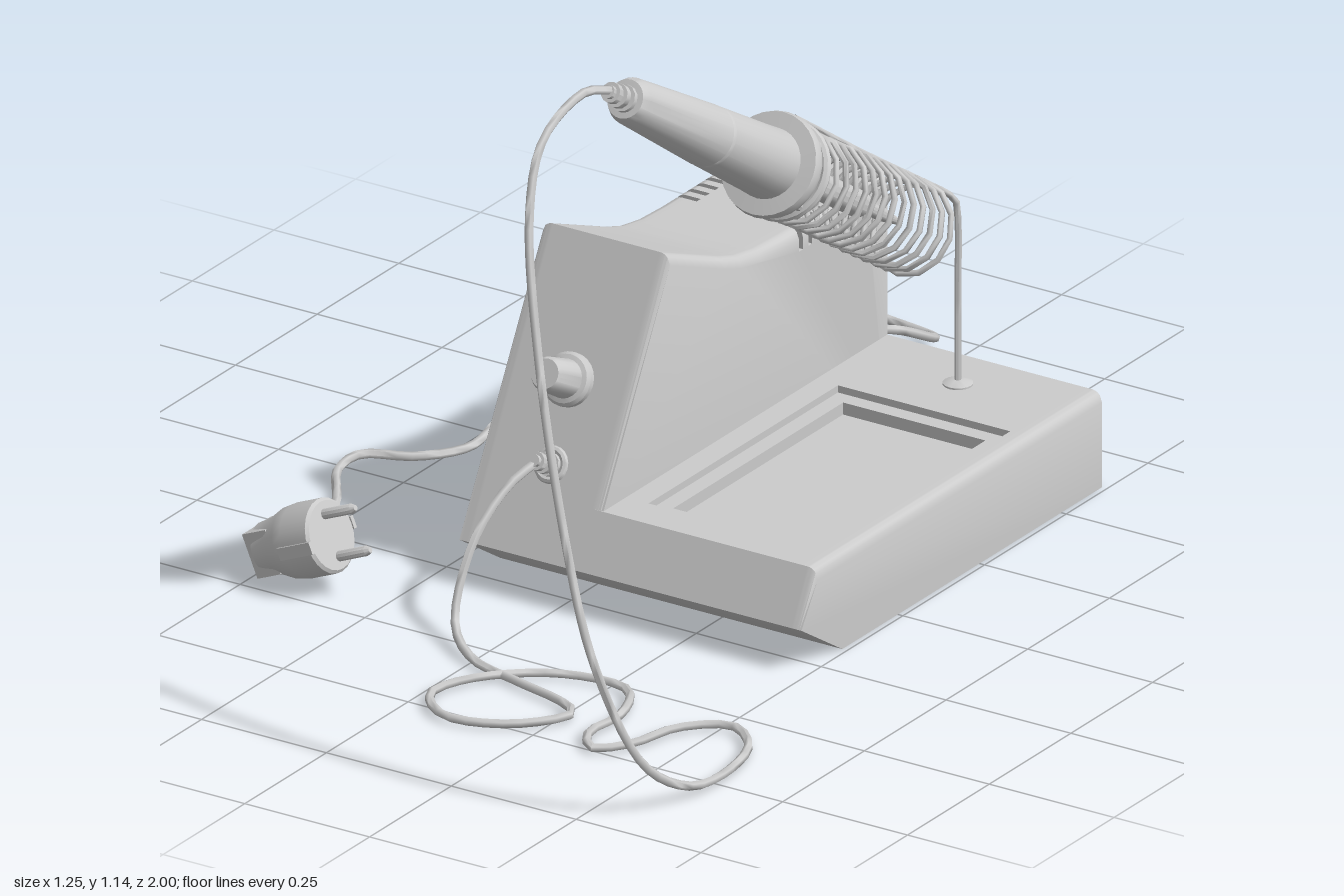
import * as THREE from 'three';
import { toCreasedNormals } from 'three/addons/utils/BufferGeometryUtils.js';

const grey = new THREE.MeshStandardMaterial({ color: 0xcccccc, side: THREE.DoubleSide });
const V = (x, y, z) => new THREE.Vector3(x, y, z);

function add(parent, name, geo, crease = 0.6) {
  const mesh = new THREE.Mesh(toCreasedNormals(geo, crease), grey);
  mesh.name = name;
  parent.add(mesh);
  return mesh;
}

// Side profile [z, y] extruded from x0 to x1; round = -1 / 1 softens the top edge on that side
function slab(profile, x0, x1, round = 0, topFrom = 0) {
  const shape = new THREE.Shape(profile.map(p => new THREE.Vector2(p[0], p[1])));
  const geo = new THREE.ExtrudeGeometry(shape, { depth: x1 - x0, steps: round ? 10 : 1, bevelEnabled: false });
  geo.rotateY(-Math.PI / 2).translate(x1, 0, 0);
  const pos = geo.attributes.position, r = 0.02;
  for (let i = 0; round && i < pos.count; i++) {
    if (pos.getY(i) < topFrom) continue;
    const edge = round > 0 ? x1 - pos.getX(i) : pos.getX(i) - x0;
    const d = Math.max(0, r - edge);
    pos.setY(i, pos.getY(i) - r + Math.sqrt(Math.max(0, r * r - d * d)));
  }
  return geo;
}

const lathe = (points, sides = 24) =>
  new THREE.LatheGeometry(points.map(p => new THREE.Vector2(p[0], p[1])), sides);

function tube(points, radius, perPoint = 4, sides = 6) {
  const curve = new THREE.CatmullRomCurve3(points.map(p => V(...p)), false, 'centripetal');
  return new THREE.TubeGeometry(curve, points.length * perPoint, radius, sides);
}

// Group whose local +y points along dir
function mount(parent, name, at, dir) {
  const g = new THREE.Group();
  g.name = name;
  g.position.set(...at);
  g.quaternion.setFromUnitVectors(V(0, 1, 0), V(...dir).normalize());
  parent.add(g);
  return g;
}

// Ribbed cable sleeve, from y = 0 to len
function sleeve(r, len, ribs = 3) {
  const pts = [[0, 0]];
  for (let i = 0; i < ribs; i++) {
    const a = len * i / ribs, p = len / ribs, k = r * (1 - 0.12 * i);
    pts.push([k, a], [k, a + p * 0.6], [k * 0.65, a + p * 0.6], [k * 0.65, a + p]);
  }
  pts.push([0, len]);
  return lathe(pts, 12);
}

const frontZ = y => 0.295 - (y - 0.08) * 0.52;
const BACK = -0.625;
const baseProfile = top => [[BACK, 0], [0.17, 0], [0.295, 0.08], [frontZ(top), top], [BACK, top]];

function buildTower(root) {
  const lower = [[BACK, 0], [0.17, 0], [0.295, 0.08], [0.04, 0.57], [-0.13, 0.5], [-0.18, 0.483], [-0.24, 0.473], [-0.31, 0.47]];
  const plain = [...lower, [BACK, 0.47]];
  // side walls carry the vent slots in their top outline
  const vented = [...lower];
  for (let i = 0; i < 8; i++) {
    const z = -0.355 - i * 0.028;
    vented.push([z, 0.47], [z, 0.428], [z - 0.012, 0.428], [z - 0.012, 0.47]);
  }
  vented.push([BACK, 0.47]);
  add(root, 'towerCore', slab(plain, -0.145, 0.01));
  add(root, 'towerRightWall', slab(vented, -0.195, -0.145, -1, 0.45));
  add(root, 'towerLeftWall', slab(vented, 0.01, 0.06, 1, 0.45));

  // rocker switch
  add(root, 'switchFrame', new THREE.BoxGeometry(0.055, 0.012, 0.085).translate(-0.07, 0.473, -0.457));
  const rocker = add(root, 'switchRocker', new THREE.BoxGeometry(0.04, 0.02, 0.066));
  rocker.position.set(-0.07, 0.478, -0.457);
  rocker.rotation.x = 0.15;

  // control knob and sockets
  const n = [0, 0.462, 0.887];
  const knob = mount(root, 'knob', [-0.067, 0.352, frontZ(0.352)], n);
  add(knob, 'knobBody', lathe([[0.047, -0.01], [0.047, 0.01], [0.042, 0.016], [0.034, 0.018],
    [0.03, 0.078], [0.026, 0.085], [0, 0.085]]));
  const socket = mount(root, 'frontSocket', [-0.06, 0.223, frontZ(0.223)], n);
  add(socket, 'socketRing', new THREE.TorusGeometry(0.026, 0.007, 8, 20).rotateX(Math.PI / 2));
  add(socket, 'cableSleeve', sleeve(0.021, 0.06));
  const rear = mount(root, 'rearSocket', [-0.06, 0.135, BACK], [0, -0.1, -1]);
  add(rear, 'cableSleeve', sleeve(0.021, 0.05));
}

function buildBase(root) {
  const top = 0.175, z0 = -0.405, z1 = 0.175;
  add(root, 'baseCore', slab(baseProfile(0.14), 0, 0.47));
  add(root, 'baseLeftRim', slab(baseProfile(top), 0.45, 0.49, 1, 0.17));
  add(root, 'baseInnerRim', slab(baseProfile(top), 0.04, 0.105));
  add(root, 'baseFrontRim', slab([[z1, 0.1], [frontZ(0.1), 0.1], [frontZ(top), top], [z1, top]], 0.1, 0.455));
  add(root, 'baseRearDeck', slab([[BACK, 0], [z0, 0], [z0, top], [BACK, top]], 0.1, 0.455));
  // stepped ledge inside the sponge tray
  const rect = (C, xa, xb, za, zb) => new C([[xa, za], [xb, za], [xb, zb], [xa, zb]].map(p => new THREE.Vector2(p[0], -p[1])));
  const ledge = rect(THREE.Shape, 0.1, 0.455, z0 - 0.005, z1 + 0.005);
  ledge.holes.push(rect(THREE.Path, 0.135, 0.42, z0 + 0.03, z1 - 0.03));
  add(root, 'trayLedge', new THREE.ExtrudeGeometry(ledge, { depth: 0.03, bevelEnabled: false })
    .rotateX(-Math.PI / 2).translate(0, 0.132, 0));
}

function buildIron(root) {
  // local +y runs up the handle, local -z is its upper side
  const iron = new THREE.Group();
  iron.name = 'solderingIron';
  iron.position.set(0.27, 0.79, 0.05);
  iron.rotation.x = 0.999;
  root.add(iron);
  add(iron, 'handle', lathe([[0, -0.03], [0.055, -0.03], [0.055, -0.012], [0.09, -0.012], [0.093, 0], [0.09, 0.012],
    [0.062, 0.014], [0.06, 0.05], [0.054, 0.23], [0.051, 0.235], [0.054, 0.24], [0.041, 0.515], [0.034, 0.533], [0, 0.535]], 28));
  add(iron, 'cableSleeve', sleeve(0.024, 0.065).translate(0, 0.53, 0));
  add(iron, 'barrel', lathe([[0, -0.46], [0.006, -0.455], [0.012, -0.4], [0.012, -0.32], [0.024, -0.315], [0.024, -0.09],
    [0.034, -0.085], [0.034, -0.02]], 16));

  // holder ring, spacers and coil
  add(iron, 'holderRing', new THREE.TorusGeometry(0.08, 0.009, 8, 28).rotateX(Math.PI / 2).translate(0, -0.045, 0));
  for (let i = 0; i < 4; i++) {
    const a = i * Math.PI / 2 + Math.PI / 4;
    add(iron, 'holderSpacer', new THREE.CylinderGeometry(0.008, 0.008, 0.045, 8)
      .translate(0.075 * Math.cos(a), -0.025, 0.075 * Math.sin(a)));
  }
  const coil = [], turns = 14, per = 12;
  for (let i = 0; i <= turns * per; i++) {
    const a = i / per * Math.PI * 2;
    coil.push([0.08 * Math.sin(a), -0.045 - 0.485 * i / (turns * per), -0.08 * Math.cos(a)]);
  }
  add(iron, 'coil', tube(coil, 0.0055, 1, 6), 1.2);
}

function buildStand(root) {
  add(root, 'standWire', tube([[0.27, 0.15, -0.52], [0.27, 0.33, -0.52], [0.27, 0.48, -0.52], [0.27, 0.515, -0.513],
    [0.27, 0.535, -0.49], [0.27, 0.575, -0.43], [0.27, 0.7, -0.24], [0.27, 0.85, -0.02]], 0.006, 4, 8), 1.2);
  add(root, 'standSocket', lathe([[0.026, 0], [0.026, 0.004], [0.012, 0.01], [0, 0.01]], 16).translate(0.27, 0.174, -0.52));
}

function buildCables(root) {
  const y = 0.011;
  const onFloor = list => list.map(p => [p[0], y, p[1]]);
  add(root, 'ironCable', tube([
    [0.27, 1.11, 0.54], [0.27, 1.137, 0.63], [0.28, 1.1, 0.77], [0.305, 1, 0.845], [0.38, 0.78, 0.93], [0.47, 0.49, 0.985],
    [0.53, 0.29, 0.992], [0.59, 0.1, 0.935], [0.612, 0.025, 0.83],
    ...onFloor([[0.618, 0.74], [0.59, 0.61], [0.52, 0.555], [0.45, 0.61], [0.42, 0.71], [0.375, 0.76], [0.335, 0.71],
      [0.34, 0.62], [0.29, 0.525], [0.16, 0.535], [0.05, 0.63], [0.025, 0.72], [0.1, 0.785], [0.21, 0.75], [0.27, 0.66],
      [0.23, 0.63], [0.12, 0.6]]),
    [0, 0.012, 0.56], [-0.07, 0.04, 0.5], [-0.085, 0.15, 0.42], [-0.075, 0.22, 0.33], [-0.06, 0.245, 0.26]], 0.008), 1.2);
  add(root, 'powerCable', tube([
    [-0.06, 0.132, -0.65], [-0.045, 0.125, -0.71], [-0.03, 0.1, -0.79], [-0.027, 0.045, -0.9], [-0.065, 0.022, -0.95],
    ...onFloor([[-0.155, -0.982], [-0.245, -0.99], [-0.33, -0.95], [-0.365, -0.87], [-0.345, -0.74], [-0.37, -0.65],
      [-0.435, -0.59], [-0.54, -0.62], [-0.6, -0.69], [-0.58, -0.75], [-0.5, -0.75], [-0.42, -0.69], [-0.39, -0.61],
      [-0.435, -0.5], [-0.515, -0.4], [-0.49, -0.265], [-0.475, -0.16], [-0.53, -0.08], [-0.61, -0.04], [-0.61, 0.03],
      [-0.54, 0.145]]),
    [-0.49, 0.025, 0.265], [-0.48, 0.035, 0.34]], 0.008), 1.2);
}

function buildPlug(root) {
  const plug = mount(root, 'plug', [-0.455, 0.062, 0.443], [0.92, 0.39, 0]);
  // round head, local +y towards the pins
  add(plug, 'plugHead', lathe([[0, -0.03], [0.045, -0.03], [0.05, 0], [0.062, 0.03], [0.065, 0.05], [0.065, 0.105],
    [0.06, 0.11], [0, 0.11]], 24));
  for (const s of [-1, 1]) {
    add(plug, 'plugPin', lathe([[0.009, 0.1], [0.009, 0.17], [0.005, 0.178], [0, 0.178]], 10).translate(0.038 * s, 0, 0));
    add(plug, 'earthClip', new THREE.BoxGeometry(0.022, 0.07, 0.008).translate(0, 0.077, 0.064 * s));
  }
  add(plug, 'plugBack', new THREE.BoxGeometry(0.08, 0.05, 0.09).translate(0, -0.015, -0.005));
  // tapered arm leading to the cable
  const arm = mount(root, 'plugArm', [-0.465, 0.055, 0.43], [-0.1, -0.13, -0.8]);
  add(arm, 'armBody', new THREE.CylinderGeometry(0.026, 0.045, 0.11, 8).translate(0, 0.055, 0));
}

export function createModel() {
  const root = new THREE.Group();
  root.name = 'solderingStation';
  [buildTower, buildBase, buildIron, buildStand, buildCables, buildPlug].forEach(build => build(root));
  return root;
}
